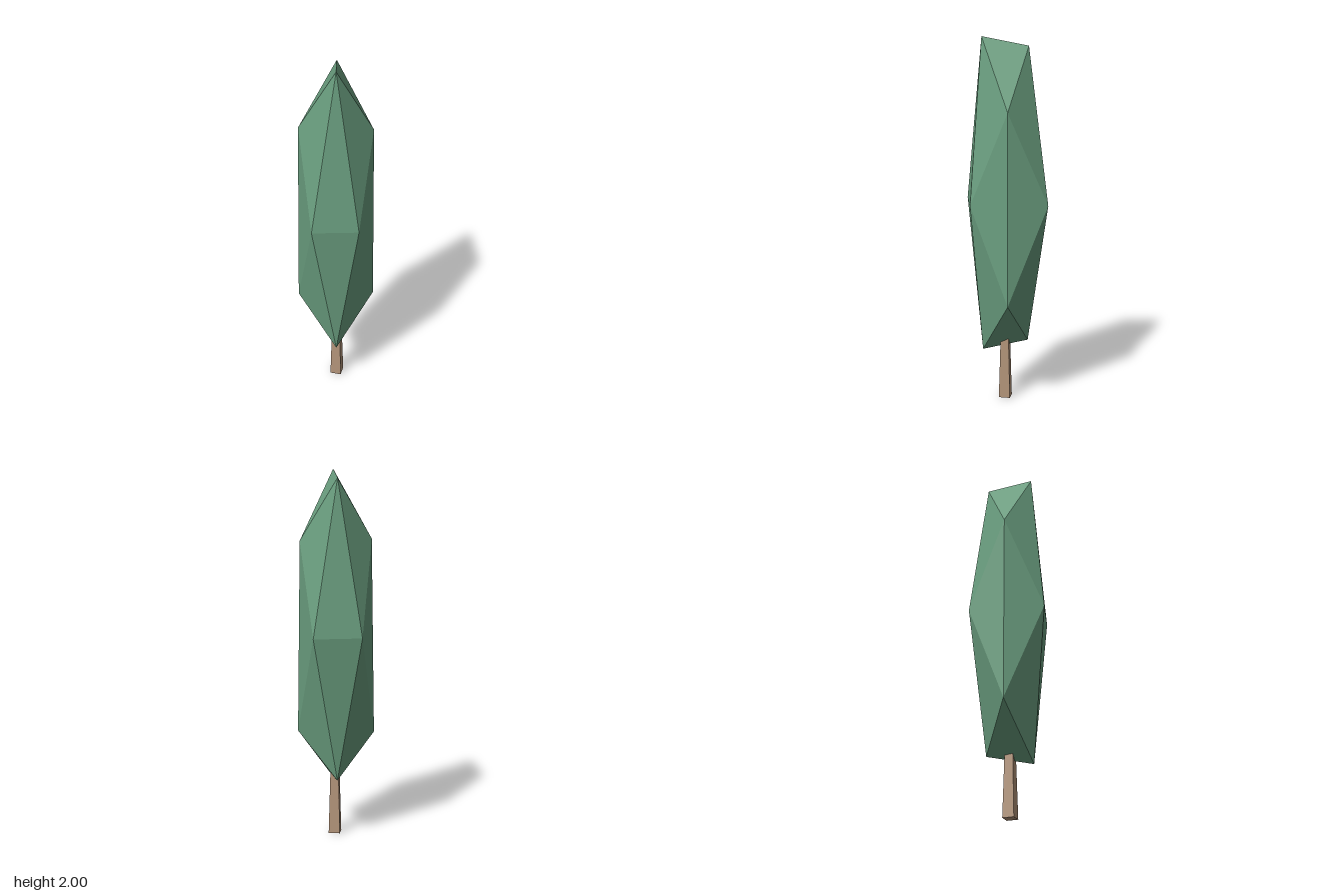
import * as THREE from 'three';

function createFoliage() {
  // Irregular, stretched icosahedron: corners in opposing-edge pairs
  const corners = [
    -0.075, 2.0, 0.112, 0.055, 1.95, -0.1, // top ridge
    -0.075, 0.28, 0.112, 0.055, 0.33, -0.1, // bottom ridge
    0.167, 0.585, 0.11, 0.155, 1.62, 0.102, // left side
    -0.19, 0.57, -0.11, -0.175, 1.63, -0.1, // right side
    -0.008, 1.12, -0.235, 0.222, 1.12, -0.112, // back belt
    -0.225, 1.12, 0.112, -0.008, 1.12, 0.232, // front belt
  ];
  const faces = [
    0, 11, 5, 0, 5, 1, 0, 1, 7, 0, 7, 10, 0, 10, 11,
    1, 5, 9, 5, 11, 4, 11, 10, 2, 10, 7, 6, 7, 1, 8,
    3, 9, 4, 3, 4, 2, 3, 2, 6, 3, 6, 8, 3, 8, 9,
    4, 9, 5, 2, 4, 11, 6, 2, 10, 8, 6, 7, 9, 8, 1,
  ];
  const indexed = new THREE.BufferGeometry();
  indexed.setAttribute('position', new THREE.Float32BufferAttribute(corners, 3));
  indexed.setIndex(faces);
  const geometry = indexed.toNonIndexed();
  geometry.computeVertexNormals();
  const material = new THREE.MeshStandardMaterial({ color: 0x6b9f80, flatShading: true });
  const foliage = new THREE.Mesh(geometry, material);
  foliage.name = 'foliage';
  return foliage;
}

function createTrunk() {
  // Four-sided tapered post, corners facing the axes, top hidden in the foliage
  const height = 0.4;
  const geometry = new THREE.CylinderGeometry(0.03, 0.044, height, 4);
  const material = new THREE.MeshStandardMaterial({ color: 0xb4957a, flatShading: true });
  const trunk = new THREE.Mesh(geometry, material);
  trunk.position.set(-0.009, height / 2, 0.007);
  trunk.name = 'trunk';
  return trunk;
}

export function createModel() {
  const tree = new THREE.Group();
  tree.name = 'tree';
  tree.add(createTrunk(), createFoliage());
  return tree;
}
